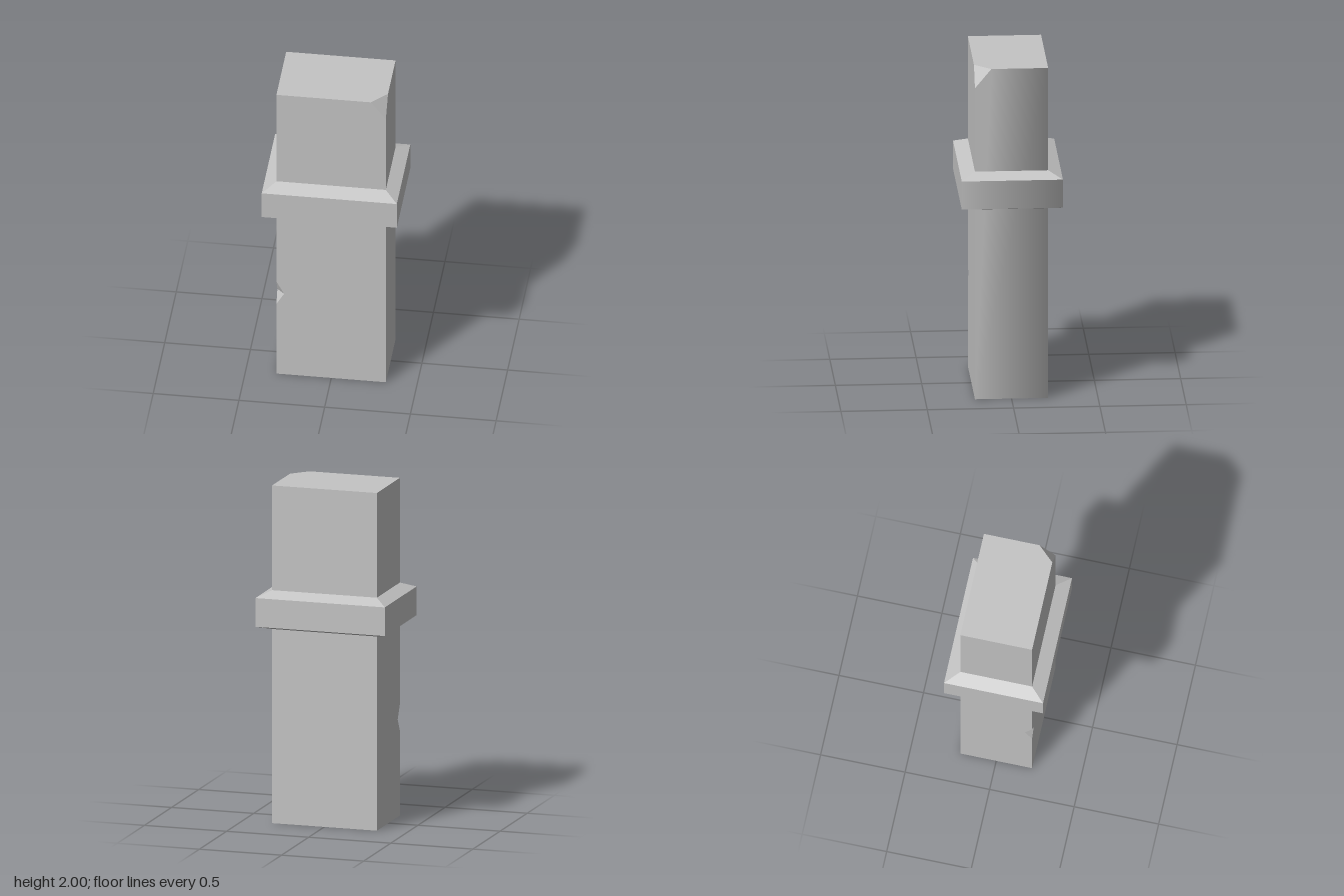
import * as THREE from 'three';

// Builds one mesh from flat faces. Each face is a fan around its first point;
// "out" is a rough outward direction that fixes the winding.
// "soft" marks points that get a shared, blended normal.
function facesMesh(name, faces, material, soft) {
  const pos = [], nor = [];
  for (const { pts, out } of faces) {
    const p = pts.map((q) => new THREE.Vector3(...q));
    for (let i = 1; i < p.length - 1; i++) {
      const tri = [p[0], p[i], p[i + 1]];
      const n = new THREE.Vector3().subVectors(tri[1], tri[0])
        .cross(new THREE.Vector3().subVectors(tri[2], tri[0])).normalize();
      if (n.dot(new THREE.Vector3(...out)) < 0) {
        tri.reverse();
        n.negate();
      }
      for (const v of tri) {
        pos.push(v.x, v.y, v.z);
        const m = soft(v, n) ? new THREE.Vector3(1, 0, -1).normalize() : n;
        nor.push(m.x, m.y, m.z);
      }
    }
  }
  const g = new THREE.BufferGeometry();
  g.setAttribute('position', new THREE.Float32BufferAttribute(pos, 3));
  g.setAttribute('normal', new THREE.Float32BufferAttribute(nor, 3));
  const mesh = new THREE.Mesh(g, material);
  mesh.name = name;
  return mesh;
}

export function createModel() {
  const stone = new THREE.MeshStandardMaterial({ color: 0xc4c4c4, side: THREE.DoubleSide });
  stone.name = 'grey stone';
  const group = new THREE.Group();
  group.name = 'pillar';

  // The back corner at +x is smooth: upright faces there share one normal
  const softCorner = (v, n) => v.x > 0.3 && v.z < -0.2 && Math.abs(n.y) < 0.01;

  // Shaft: hollow, open at the bottom
  const L = -0.32, R = 0.318, F = 0.212, B = -0.212, H = 2;
  // Chipped top corner
  const chipF = [0.23, H, F], chipR = [R, H, 0.117], chipD = [R, 1.885, F];
  // Notch in the front edge at -x
  const notchT = [L, 0.66, F], notchB = [L, 0.5, F];
  const notchF = [-0.275, 0.577, F], notchL = [L, 0.577, 0.17];

  group.add(facesMesh('shaft', [
    { pts: [notchF, notchB, [L, 0, F], [R, 0, F], chipD, chipF, [L, H, F], notchT], out: [0, 0, 1] },
    { pts: [notchL, notchB, [L, 0, F], [L, 0, B], [L, H, B], [L, H, F], notchT], out: [-1, 0, 0] },
    { pts: [[R, 0, F], [R, 0, B], [R, H, B], chipR, chipD], out: [1, 0, 0] },
    { pts: [[L, 0, B], [R, 0, B], [R, H, B], [L, H, B]], out: [0, 0, -1] },
    { pts: [[L, H, B], [R, H, B], chipR, chipF, [L, H, F]], out: [0, 1, 0] },
  ], stone, softCorner));

  group.add(facesMesh('chippedCorner', [
    { pts: [chipF, chipR, chipD], out: [1, 1, 1] },
  ], stone, () => false));

  group.add(facesMesh('edgeNotch', [
    { pts: [notchT, notchF, notchL], out: [-1, -1, 1] },
    { pts: [notchB, notchF, notchL], out: [-1, 1, 1] },
  ], stone, () => false));

  // Collar: rectangular band with sloped top and bottom
  const loop = (y, x0, x1, z) => [[x0, y, z], [x1, y, z], [x1, y, -z], [x0, y, -z]];
  const loops = [
    loop(1.15, L, R, F),
    loop(1.175, -0.395, 0.393, 0.293),
    loop(1.345, -0.395, 0.393, 0.293),
    loop(1.38, L, R, F),
  ];
  const outs = [[0, 0, 1], [1, 0, 0], [0, 0, -1], [-1, 0, 0]];
  const collar = [];
  for (let k = 0; k < 3; k++) {
    for (let i = 0; i < 4; i++) {
      const j = (i + 1) % 4;
      collar.push({ pts: [loops[k][i], loops[k][j], loops[k + 1][j], loops[k + 1][i]], out: outs[i] });
    }
  }
  group.add(facesMesh('collar', collar, stone, softCorner));

  return group;
}
